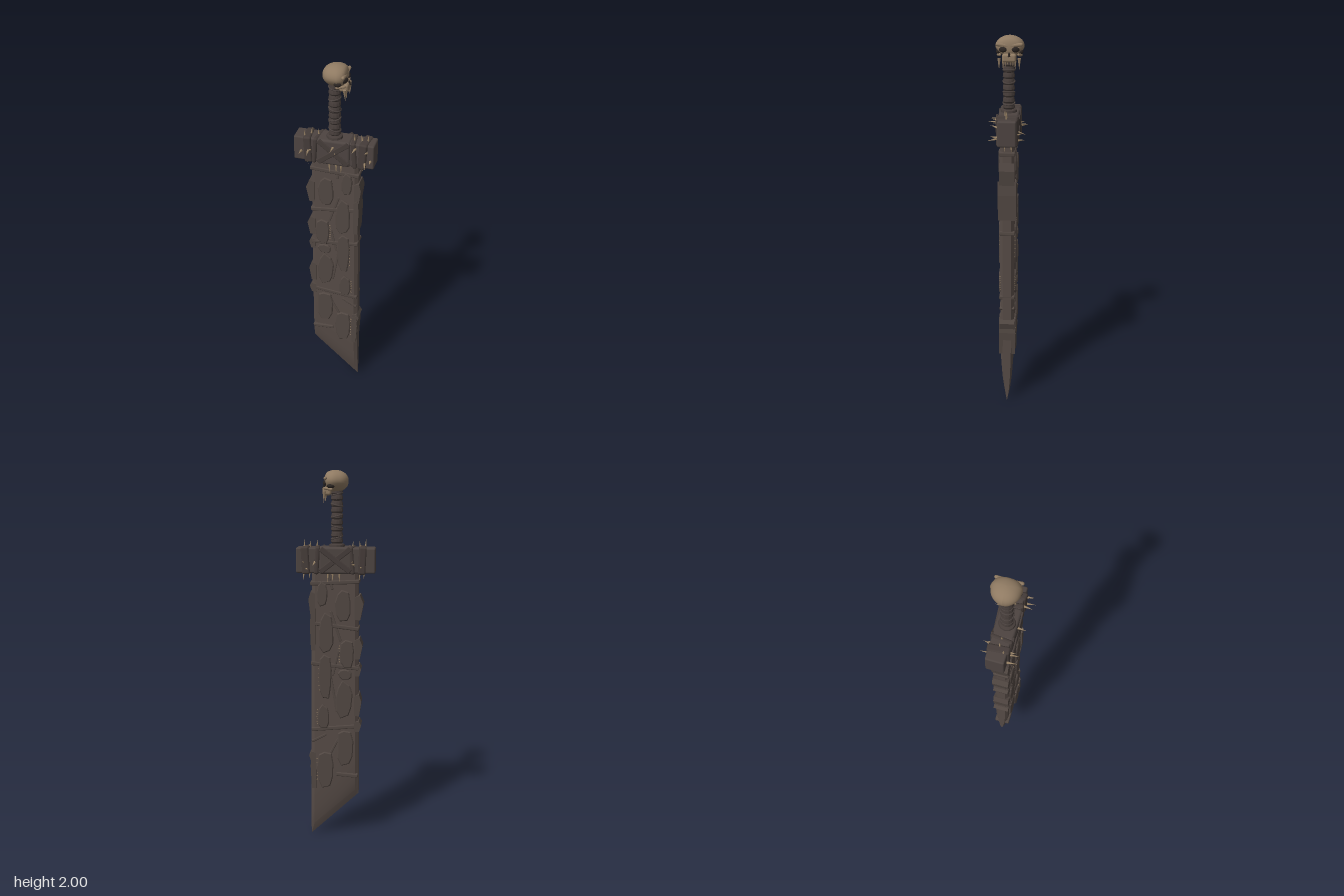
import * as THREE from 'three';
import { toCreasedNormals } from 'three/addons/utils/BufferGeometryUtils.js';
import { RoundedBoxGeometry } from 'three/addons/geometries/RoundedBoxGeometry.js';

const mat = (name, color) => Object.assign(new THREE.MeshStandardMaterial({ color }), { name });

export function createModel() {
  const root = new THREE.Group();
  root.name = 'greatsword';
  const M = {
    blade: mat('dark iron', 0x564b46),
    plate: mat('scale plate', 0x514742),
    guard: mat('guard wood', 0x4d4441),
    leather: mat('leather strap', 0x453c39),
    bone: mat('bone', 0x8f7a62),
    spike: mat('spike ivory', 0x9a8467),
    hollow: mat('hollow', 0x2b2522),
  };
  let seed = 11;
  const rnd = () => (seed = (seed * 16807) % 2147483647) / 2147483647;
  const group = (name) => {
    const g = new THREE.Group();
    g.name = name;
    root.add(g);
    return g;
  };
  const add = (parent, name, geo, material, p = [0, 0, 0], r = [0, 0, 0]) => {
    const m = new THREE.Mesh(geo, material);
    m.name = name;
    m.position.set(...p);
    m.rotation.set(...r);
    parent.add(m);
    return m;
  };
  // cone running from base point along a direction
  const spike = (parent, name, p, dir, len, rad, material = M.spike) => {
    const geo = new THREE.ConeGeometry(rad, len, 6);
    geo.translate(0, len / 2, 0);
    const m = add(parent, name, geo, material, p);
    m.quaternion.setFromUnitVectors(new THREE.Vector3(0, 1, 0), new THREE.Vector3(...dir).normalize());
  };

  // Blade: chamfered cross-sections lofted upward from the slanted cutting tip
  const blade = group('blade');
  const rows = [[0, 0.002], [0.05, 0.016], [0.13, 0.026], [0.26, 0.035], [0.6, 0.037], [1.0, 0.037], [1.5, 0.037]];
  const pos = [], idx = [], N = 8;
  rows.forEach(([h, t]) => {
    const s = h / 1.5;
    const xl = -0.125 + 0.008 * s, xr = 0.138 - 0.013 * s;
    const ring = [[xl, 0.6], [xl + 0.018, 1], [xr - 0.018, 1], [xr, 0.6], [xr, -0.6], [xr - 0.018, -1], [xl + 0.018, -1], [xl, -0.6]];
    ring.forEach(([x, z]) => {
      const base = 0.005 + (0.25 * (xr - x)) / (xr - xl);
      pos.push(x, base + (1.5 - base) * s, z * t);
    });
  });
  for (let r = 0; r < rows.length - 1; r++)
    for (let i = 0; i < N; i++) {
      const a = r * N + i, b = r * N + ((i + 1) % N);
      idx.push(a, b, b + N, a, b + N, a + N);
    }
  for (let i = 1; i < N - 1; i++) idx.push(0, i + 1, i);
  const bladeGeo = new THREE.BufferGeometry();
  bladeGeo.setAttribute('position', new THREE.Float32BufferAttribute(pos, 3));
  bladeGeo.setIndex(idx);
  bladeGeo.computeVertexNormals();
  add(blade, 'bladeBody', toCreasedNormals(bladeGeo, 0.4), M.blade);

  // Raised irregular scales on both faces: x, y, width, height
  const scales = [
    [-0.04, 1.31, 0.09, 0.18], [0.07, 1.37, 0.06, 0.13], [-0.06, 1.05, 0.085, 0.16], [0.05, 1.16, 0.085, 0.23],
    [-0.045, 0.8, 0.095, 0.21], [0.055, 0.92, 0.07, 0.26], [-0.05, 0.53, 0.095, 0.21], [0.055, 0.4, 0.095, 0.22],
    [0.065, 0.7, 0.07, 0.14], [-0.05, 0.94, 0.075, 0.05],
  ];
  scales.forEach(([x, y, w, h], n) => {
    const shape = new THREE.Shape();
    const pts = [];
    for (let i = 0; i < 9; i++) {
      const a = (i / 9) * Math.PI * 2 + 0.25, k = 0.85 + 0.2 * rnd();
      const c = Math.cos(a), s = Math.sin(a);
      pts.push(new THREE.Vector2(Math.sign(c) * Math.abs(c) ** 0.7 * k * w * 0.43, Math.sign(s) * Math.abs(s) ** 0.8 * k * h * 0.47));
    }
    shape.setFromPoints(pts);
    const geo = new THREE.ExtrudeGeometry(shape, { depth: 0.008, bevelThickness: 0.005, bevelSize: 0.005, bevelSegments: 1 });
    for (const side of [1, -1]) {
      const g = new THREE.Group();
      g.name = side > 0 ? 'frontScale' : 'backScale';
      g.position.set(x, y, side * 0.033);
      if (side < 0) g.rotation.y = Math.PI;
      blade.add(g);
      add(g, 'scale', geo, M.plate);
      // small teeth along one edge of some scales
      if (n % 3 === 2 || n === 5 || n === 7)
        for (let i = -3; i <= 3; i++)
          spike(g, 'scaleTooth', [w * 0.45 * side, i * h * 0.09, 0.004], [side, 0.2, 1], 0.01, 0.0025);
    }
  });

  // Ridged bands wrapped round the blade: y, tilt
  [[1.2, 0.12], [0.985, 0.1], [0.64, -0.1], [0.37, 0.08], [1.43, -0.05]].forEach(([y, tilt], i) => {
    const w = i === 3 ? 0.12 : 0.258;
    add(blade, 'bladeBand', new RoundedBoxGeometry(w, 0.022, 0.084, 1, 0.006), M.plate, [i === 3 ? -0.062 : 0.004, y, 0], [0, 0, tilt]);
  });
  // Diagonal cracks joining the scales
  [[0.0, 1.2, 0.17, 1.25], [0.01, 0.83, 0.2, 1.4], [0.0, 0.55, 0.16, -1.1], [0.03, 1.44, 0.1, 1.3], [0.09, 0.58, 0.09, -0.5], [0.0, 1.0, 0.14, 1.8]].forEach(([x, y, l, r]) =>
    add(blade, 'bladeRidge', new RoundedBoxGeometry(l, 0.014, 0.08, 1, 0.004), M.plate, [x, y, 0], [0, 0, r]));

  // Pointed plates clasping the blade edges: side, y, height, reach, depth
  [[-1, 1.3, 0.13, 0.026, 0.086], [-1, 1.08, 0.11, 0.022, 0.086], [-1, 0.96, 0.06, 0.016, 0.08], [-1, 0.77, 0.12, 0.018, 0.084], [-1, 0.65, 0.06, 0.018, 0.084],
    [1, 1.32, 0.12, 0.016, 0.08], [1, 1.175, 0.21, 0.008, 0.094], [1, 0.39, 0.2, 0.01, 0.086], [1, 0.47, 0.06, 0.018, 0.08]].forEach(([s, y, h, d, depth]) => {
    const sh = new THREE.Shape([[-0.02, -h / 2], [d * 0.35, -h / 2], [d, h * 0.15], [d * 0.3, h / 2], [-0.02, h * 0.42]].map(([a, b]) => new THREE.Vector2(a * s, b)));
    add(blade, 'edgePlate', new THREE.ExtrudeGeometry(sh, { depth, bevelEnabled: false }), M.plate, [s > 0 ? 0.127 : -0.12, y, -depth / 2]);
  });

  // Crossguard block with a thicker bound centre
  const guard = group('crossguard');
  add(guard, 'guardBar', new RoundedBoxGeometry(0.41, 0.13, 0.094, 2, 0.008), M.guard, [0, 1.545, -0.004]);
  add(guard, 'guardCentre', new RoundedBoxGeometry(0.17, 0.138, 0.106, 2, 0.012), M.guard, [0, 1.545, -0.002]);
  for (const z of [1, -1])
    for (const r of [1, -1])
      add(guard, 'crossStrap', new RoundedBoxGeometry(0.195, 0.028, 0.01, 1, 0.004), M.leather, [0, 1.548, z * (0.054 + r * 0.002) - 0.002], [0, 0, r * 0.66]);
  [[-0.135, 0.04, 0.05], [-0.09, 0.022, -0.08], [0.1, 0.025, 0.07], [0.152, 0.042, -0.06]].forEach(([x, w, r]) =>
    add(guard, 'guardStrap', new RoundedBoxGeometry(w, 0.142, 0.11, 2, 0.01), M.leather, [x, 1.545, -0.003], [0, r * 1.5, r]));
  // Spikes set in the straps
  [[-0.165, 1], [-0.128, 1], [0.112, 1], [0.16, 1], [0.188, 0.7], [0, 1], [-0.13, -1], [-0.095, -1], [0.105, -1], [0.152, -1]].forEach(([x, s], i) => {
    const z = Math.sign(s), tilt = (rnd() - 0.5) * 0.5;
    spike(guard, 'sideSpike', [x, 1.5 + 0.09 * rnd(), z * 0.045], [tilt, (rnd() - 0.5) * 0.6, z], 0.052 * Math.abs(s), 0.007);
    if (i % 2) spike(guard, 'smallSideSpike', [x + 0.01, 1.515 + 0.06 * rnd(), z * 0.045], [-tilt, 0.3, z], 0.036, 0.006);
  });
  for (const x of [-0.15, -0.125, -0.085, 0.1, 0.138, 0.165])
    for (const s of [1, -1]) {
      const z = (rnd() - 0.5) * 0.08;
      spike(guard, s > 0 ? 'topSpike' : 'bottomSpike', [x, 1.545 + s * 0.062, z], [(rnd() - 0.5) * 0.5, s, z * 4], 0.042, 0.006);
    }
  for (const z of [1, -1])
    for (const x of [-0.02, 0.015, 0.04])
      spike(guard, 'hangingTooth', [x, 1.485, z * 0.042], [0, -1, 0.1 * z], 0.05, 0.007);

  // Grip with stacked wrap ridges
  const grip = group('grip');
  const prof = [new THREE.Vector2(0.045, 1.6), new THREE.Vector2(0.04, 1.625)];
  for (let i = 0; i < 9; i++) {
    const y = 1.63 + i * 0.031;
    prof.push(new THREE.Vector2(0.026, y), new THREE.Vector2(0.031, y + 0.008), new THREE.Vector2(0.029, y + 0.024));
  }
  prof.push(new THREE.Vector2(0.024, 1.92));
  add(grip, 'gripWrap', toCreasedNormals(new THREE.LatheGeometry(prof, 12), 0.5), M.leather, [-0.004, 0, 0]);
  for (let i = 0; i < 5; i++)
    add(grip, 'gripCord', new THREE.TorusGeometry(0.03, 0.004, 5, 14), M.guard, [-0.004, 1.66 + i * 0.055, 0], [Math.PI / 2, 0.25 * (i % 2 ? 1 : -1), 0]);

  // Skull pommel looking toward +x: cranium narrowed below the brow, flattened in front
  const skull = group('skullPommel');
  const cran = new THREE.SphereGeometry(1, 28, 20), cp = cran.attributes.position;
  for (let i = 0; i < cp.count; i++) {
    let x = cp.getX(i), y = cp.getY(i), z = cp.getZ(i);
    const narrow = y < 0 ? 1 + 0.3 * y : 1;
    if (x > 0.62) x = 0.62 + (x - 0.62) * 0.5;
    cp.setXYZ(i, x * 0.068, Math.sign(y) * Math.abs(y) ** 0.9 * 0.055, z * 0.073 * narrow * (x > 0 ? 1 : 0.94));
  }
  cran.computeVertexNormals();
  add(skull, 'cranium', cran, M.bone, [0.004, 1.945, -0.006]);
  add(skull, 'upperJaw', new RoundedBoxGeometry(0.045, 0.042, 0.07, 3, 0.012), M.bone, [0.045, 1.895, -0.006]);
  add(skull, 'noseHollow', new THREE.ConeGeometry(0.011, 0.024, 4), M.hollow, [0.064, 1.914, -0.006]);
  for (const s of [1, -1]) {
    const z = (v) => s * v - 0.006;
    add(skull, 'eyeSocket', new THREE.SphereGeometry(1, 14, 10), M.hollow, [0.053, 1.936, z(0.032)], [0, -s * 0.45, 0]).scale.set(0.009, 0.014, 0.021);
    add(skull, 'browRidge', new THREE.CapsuleGeometry(0.009, 0.05, 4, 8), M.bone, [0.05, 1.957, z(0.034)], [s * 1.45, 0, 0]);
    add(skull, 'templeHollow', new THREE.SphereGeometry(1, 14, 10), M.hollow, [0.022, 1.922, z(0.056)]).scale.set(0.019, 0.012, 0.012);
    add(skull, 'cheekbone', new THREE.CapsuleGeometry(0.007, 0.035, 4, 8), M.bone, [0.036, 1.908, z(0.052)], [0, s * 0.35, Math.PI / 2 + 0.15]);
    [[0.008, 0.024], [0.019, 0.03], [0.03, 0.046]].forEach(([tz, len]) =>
      spike(skull, 'tooth', [0.056, 1.882, z(tz)], [0.1, -1, 0], len, 0.006, M.bone));
    spike(skull, 'fang', [0.055, 1.895, z(0.05)], [0.08, -1, 0], 0.055, 0.009, M.bone);
  }
  return root;
}
